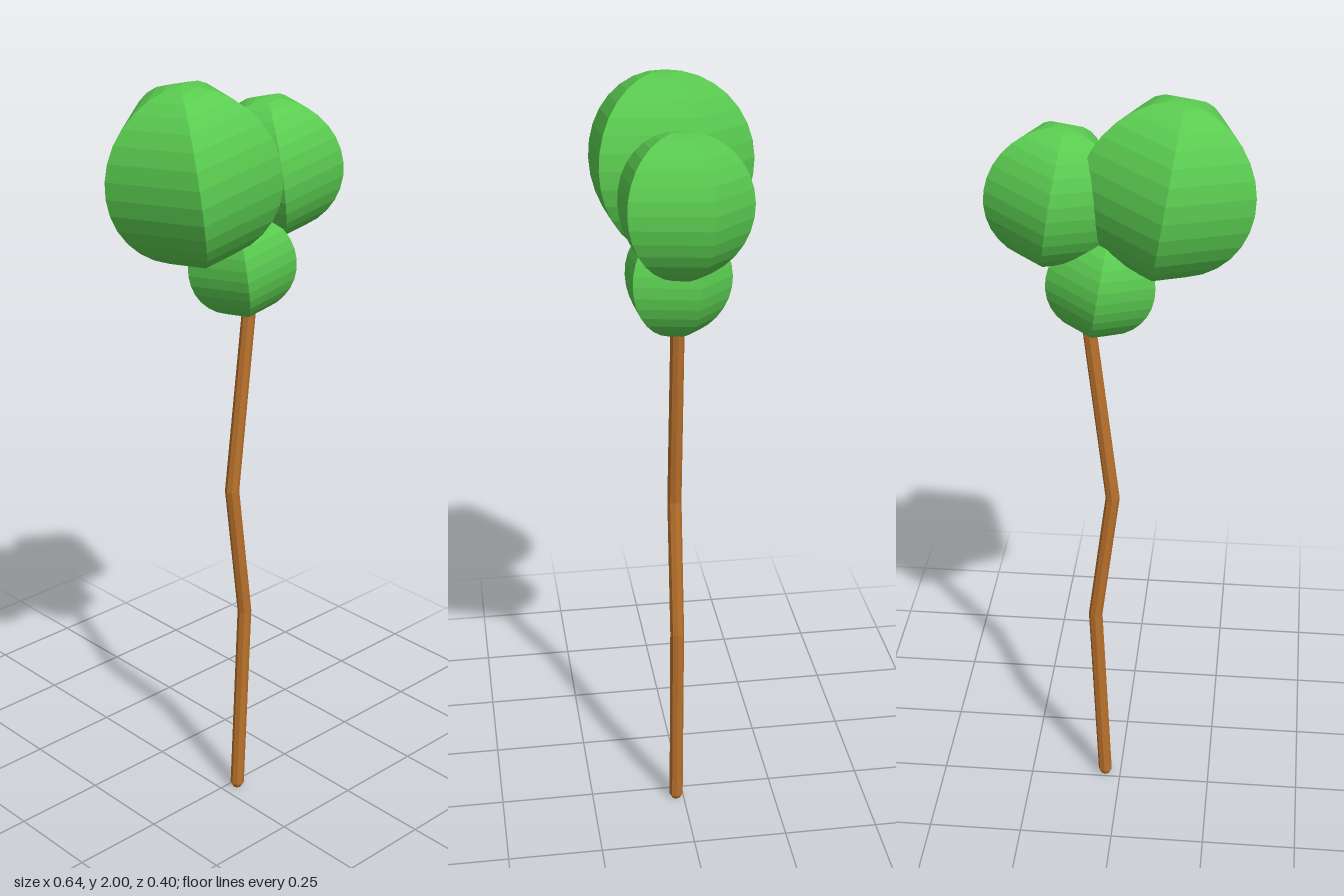
import * as THREE from 'three';

const leafGreen = new THREE.MeshStandardMaterial({ color: 0x5acb50, flatShading: true });
leafGreen.name = 'leafGreen';
const barkBrown = new THREE.MeshStandardMaterial({ color: 0xba722c, flatShading: true });
barkBrown.name = 'barkBrown';

const DEPTH = 0.02; // z of the whole tree axis

// Five-sided puff, one ridge towards the back, top leaning to -x
function leafPuff(name, x, y, radius) {
  const geometry = new THREE.SphereGeometry(radius, 5, 16);
  geometry.rotateY(-Math.PI / 2);
  geometry.rotateZ(THREE.MathUtils.degToRad(9));
  const puff = new THREE.Mesh(geometry, leafGreen);
  puff.name = name;
  puff.position.set(x, y, DEPTH);
  return puff;
}

// Crooked trunk: rings of a cylinder moved onto the bends of a path
function crookedTrunk() {
  const rings = [ // x, y, radius, from top to bottom
    [0.09, 1.52, 0.0175], [0.02, 0.92, 0.0185], [0.067, 0.55, 0.0185],
    [0.043, 0.012, 0.0185], [0.0425, 0, 0.012],
  ];
  const last = rings.length - 1;
  const geometry = new THREE.CylinderGeometry(1, 1, last, 8, last);
  const p = geometry.attributes.position;
  for (let i = 0; i < p.count; i++) {
    const [x, y, r] = rings[Math.round(last / 2 - p.getY(i))];
    p.setXYZ(i, x + p.getX(i) * r, y, DEPTH + p.getZ(i) * r);
  }
  geometry.computeVertexNormals();
  const trunk = new THREE.Mesh(geometry, barkBrown);
  trunk.name = 'trunk';
  return trunk;
}

export function createModel() {
  const tree = new THREE.Group();
  tree.name = 'tree';
  tree.add(
    crookedTrunk(),
    leafPuff('largeFoliage', -0.115, 1.782, 0.2195),
    leafPuff('mediumFoliage', 0.156, 1.757, 0.173),
    leafPuff('smallFoliage', 0.045, 1.538, 0.141),
  );
  return tree;
}
